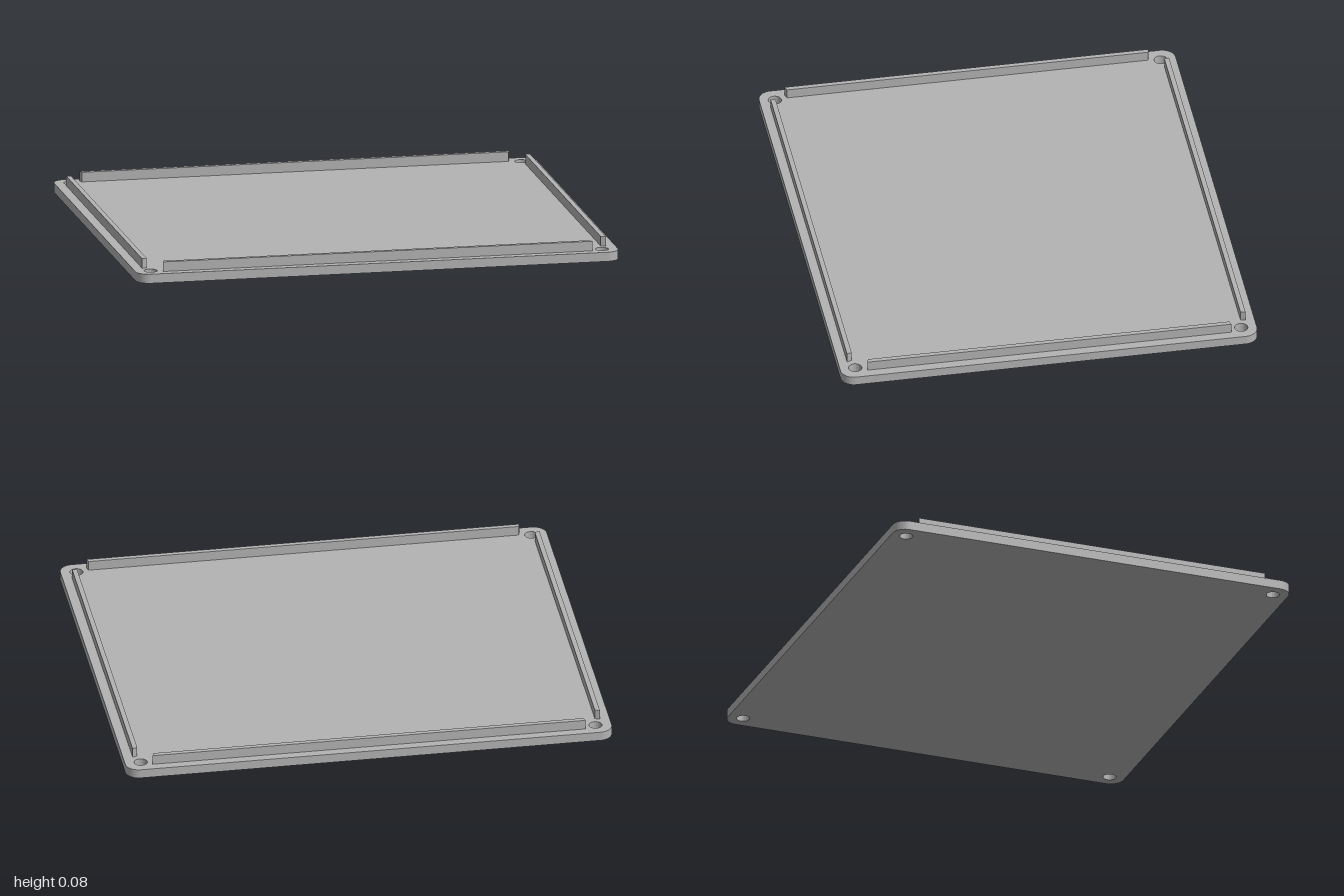
import * as THREE from 'three';

const HX = 1, HZ = 0.858, PLATE = 0.038, TOP = 0.078;

export function createModel() {
  const group = new THREE.Group();
  const grey = new THREE.MeshStandardMaterial({ color: 0xb3b3b3 });
  grey.name = 'grey';

  // extrude a plan outline upwards from y0 to y1
  const slab = (shape, y0, y1, name) => {
    const geo = new THREE.ExtrudeGeometry(shape, { depth: y1 - y0, bevelEnabled: false, curveSegments: 12 });
    geo.rotateX(-Math.PI / 2).translate(0, y0, 0);
    const mesh = new THREE.Mesh(geo, grey);
    mesh.name = name;
    group.add(mesh);
    return mesh;
  };

  // base plate with rounded corners and a screw hole in each one
  const r = 0.055;
  const plate = new THREE.Shape();
  plate.absarc(HX - r, HZ - r, r, 0, Math.PI / 2);
  plate.absarc(-HX + r, HZ - r, r, Math.PI / 2, Math.PI);
  plate.absarc(-HX + r, -HZ + r, r, Math.PI, Math.PI * 1.5);
  plate.absarc(HX - r, -HZ + r, r, Math.PI * 1.5, Math.PI * 2);
  plate.closePath();
  for (const sx of [-1, 1]) for (const sz of [-1, 1]) {
    const hole = new THREE.Path();
    hole.absarc(sx * 0.935, sz * 0.795, 0.027, 0, Math.PI * 2, true);
    plate.holes.push(hole);
  }
  slab(plate, 0, PLATE, 'basePlate');

  // thin upright rail, slightly longer on its outer face to clear the screws
  const rail = (half, inner, outer, angle, name) => {
    const shape = new THREE.Shape([
      new THREE.Vector2(-half, -inner), new THREE.Vector2(-half - 0.006, -outer),
      new THREE.Vector2(half + 0.006, -outer), new THREE.Vector2(half, -inner),
    ]);
    slab(shape, PLATE, TOP, name).rotation.y = angle;
  };
  rail(0.884, 0.801, 0.821, 0, 'frontRail');
  rail(0.884, 0.801, 0.821, Math.PI, 'backRail');
  rail(0.744, 0.941, 0.961, Math.PI / 2, 'leftRail');
  rail(0.744, 0.941, 0.961, -Math.PI / 2, 'rightRail');

  return group;
}
